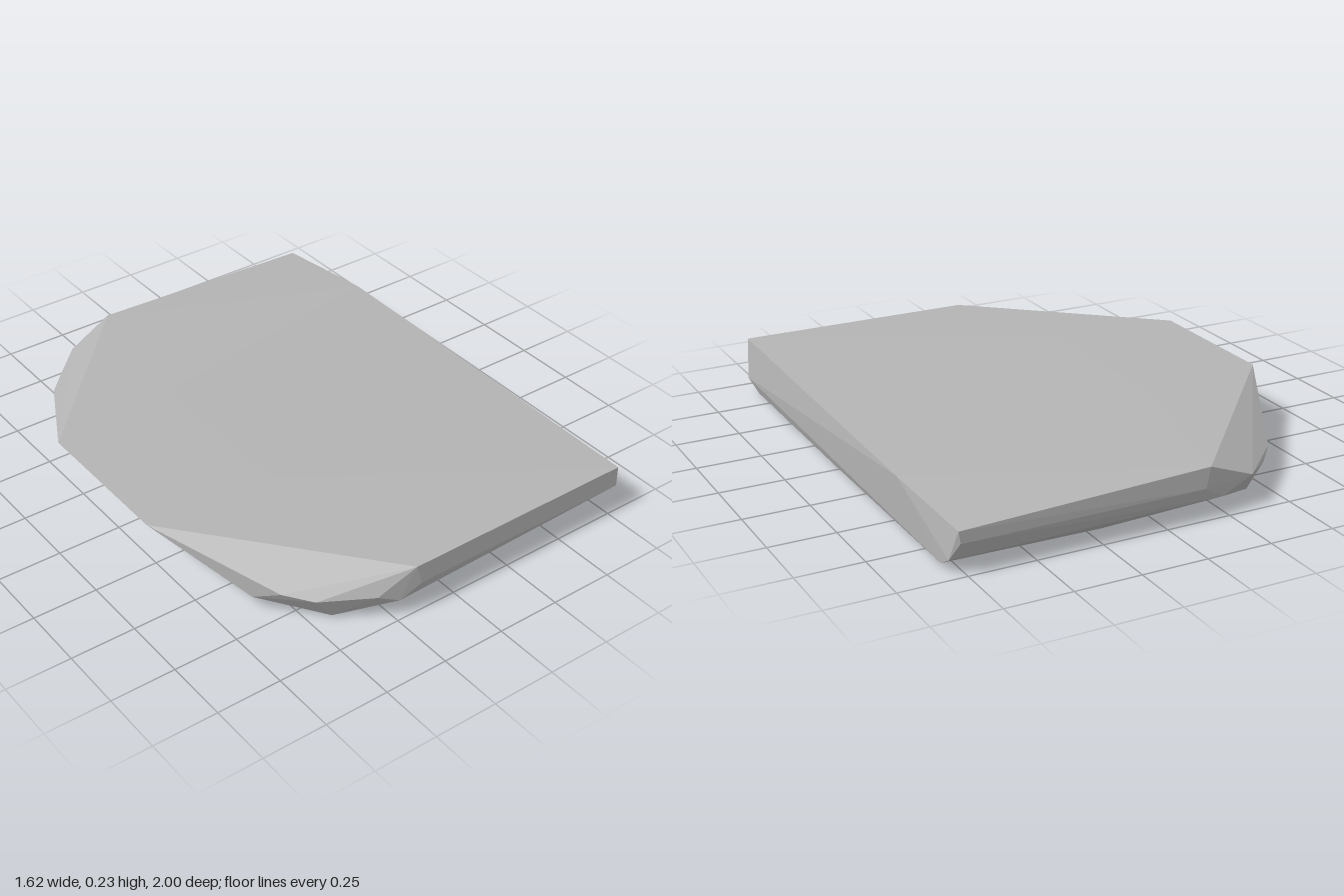
import * as THREE from 'three';
import { ConvexGeometry } from 'three/addons/geometries/ConvexGeometry.js';

export function createModel() {
  const model = new THREE.Group();
  model.name = 'model';
  const stone = new THREE.MeshStandardMaterial({ color: 0xb4b4b4, flatShading: true });

  // Corners shared by the front and the back: [x, y, z], mirrored in z
  const mirrored = [
    // top rim
    [-0.81, 0.233, 0.30], [-0.30, 0.233, 0.34], [-0.17, 0.197, 0.995],
    // side wall
    [-0.15, 0.12, 1.0], [0.775, 0.12, 1.0], [-0.23, 0.07, 0.983],
    // rounded corner
    [-0.57, 0.112, 0.76], [-0.49, 0.10, 0.85], [-0.31, 0.105, 0.96], [-0.62, 0.06, 0.66],
    // underside
    [-0.56, 0.01, 0.60], [-0.42, 0.007, 0.85], [0.20, 0.008, 0.90], [0.79, 0.005, 0.86],
  ];
  // Corners of the straight end, which differ between front and back
  const single = [
    [0.78, 0.197, 0.995], [0.805, 0.05, 0.94],
    [0.806, 0.195, -0.57], [0.782, 0.165, -1.0],
    [0.80, 0.05, -0.96], [0.80, 0.015, -0.90],
    [0.79, 0, 0], [-0.42, 0, 0],
    [-0.36, 0.12, -0.968],
  ];

  const points = single.map((p) => new THREE.Vector3(...p));
  for (const [x, y, z] of mirrored) {
    points.push(new THREE.Vector3(x, y, z), new THREE.Vector3(x, y, -z));
  }

  // One faceted slab wrapped around all corners
  const slab = new THREE.Mesh(new ConvexGeometry(points), stone);
  slab.name = 'stoneSlab';
  model.add(slab);
  return model;
}
